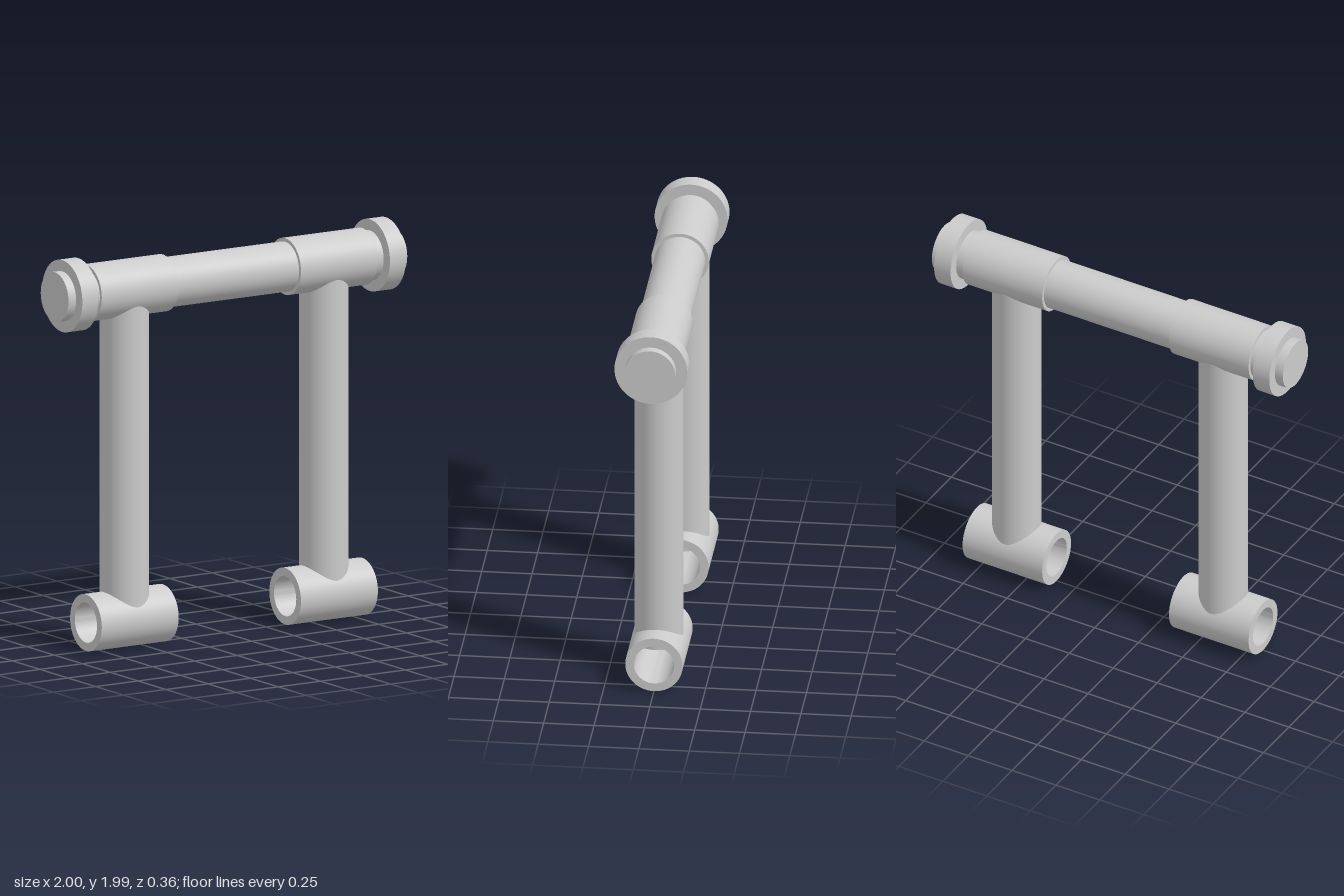
import * as THREE from 'three';
import { toCreasedNormals } from 'three/addons/utils/BufferGeometryUtils.js';

const SEGMENTS = 64;
const AXLE_Y = 1.805;    // height of the top shaft axis
const SLEEVE_R = 0.1425; // outer radius of upper and lower sleeves
const SHAFT_R = 0.125;
const LEG_X = 0.588;

export function createModel() {
  const model = new THREE.Group();
  model.name = 'linkFrame';
  const material = new THREE.MeshStandardMaterial({ color: 0xcccccc });

  const add = (name, geometry, x, y) => {
    const mesh = new THREE.Mesh(geometry, material);
    mesh.name = name;
    mesh.position.set(x, y, 0);
    model.add(mesh);
  };

  // Hollow ring along x with crisp rims
  const ring = (inner, outer, length) => {
    const h = length / 2;
    const profile = [[inner, -h], [outer, -h], [outer, h], [inner, h], [inner, -h]]
      .map(([r, y]) => new THREE.Vector2(r, y));
    const lathe = new THREE.LatheGeometry(profile, SEGMENTS);
    return toCreasedNormals(lathe, 0.6).rotateZ(Math.PI / 2);
  };

  // Solid shaft running the full width
  add('shaft', new THREE.CylinderGeometry(SHAFT_R, SHAFT_R, 2, SEGMENTS).rotateZ(Math.PI / 2), 0, AXLE_Y);

  for (const [side, s] of [['left', 1], ['right', -1]]) {
    // End collar and the sleeve that carries the leg
    add(side + 'Collar', ring(SHAFT_R, 0.181, 0.094), s * 0.908, AXLE_Y);
    add(side + 'UpperSleeve', ring(SHAFT_R, SLEEVE_R, 0.454), s * LEG_X, AXLE_Y);

    // Leg, its flat lower end reaching slightly into the lower bore
    const bottom = 0.175, top = 1.772;
    add(side + 'Leg', new THREE.CylinderGeometry(0.122, 0.122, top - bottom, SEGMENTS),
      s * LEG_X, (top + bottom) / 2);

    // Open tube at the foot
    add(side + 'LowerSleeve', ring(0.1, SLEEVE_R, 0.454), s * LEG_X, SLEEVE_R);
  }
  return model;
}
